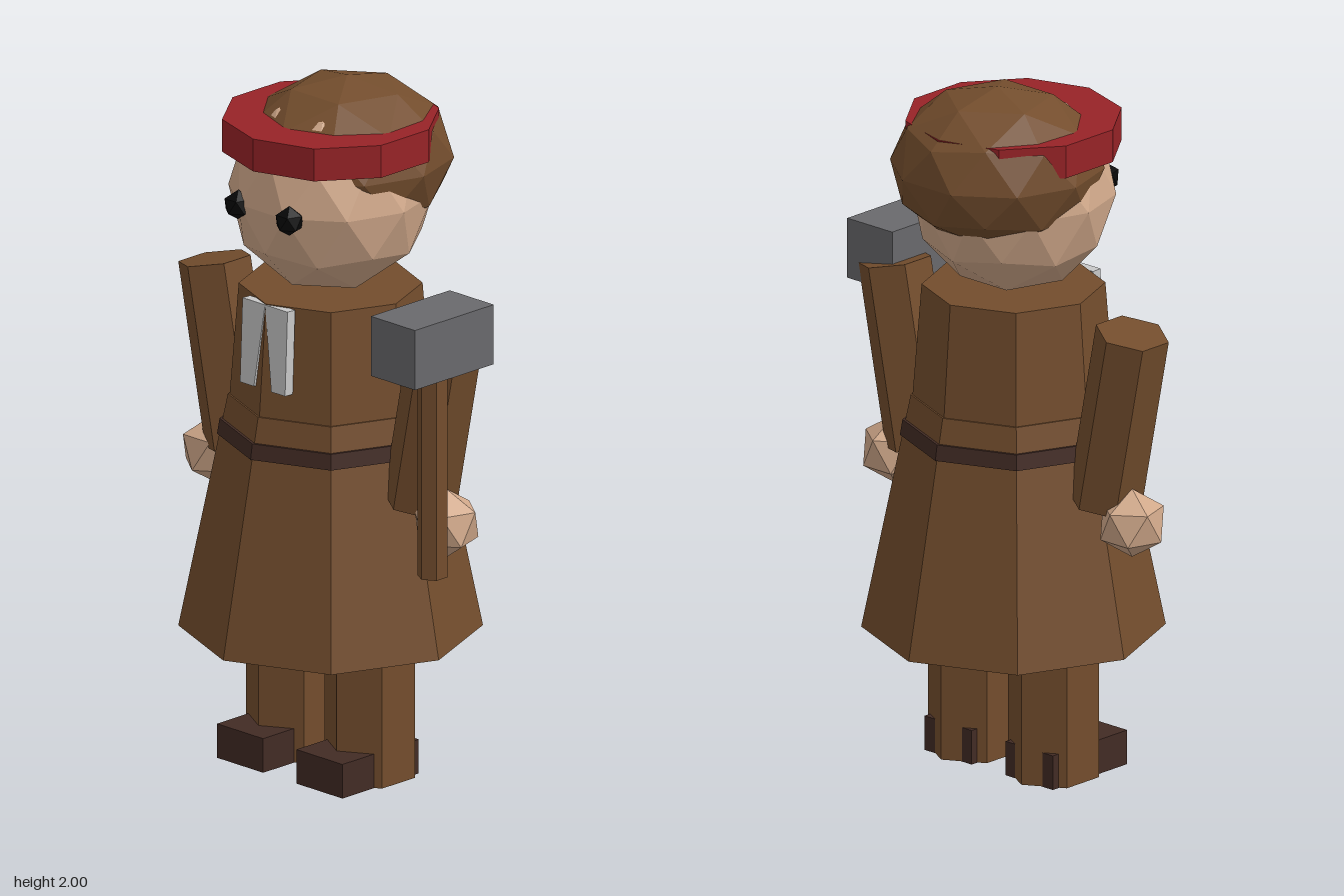
import * as THREE from 'three';

const material = (name, color) => {
  const m = new THREE.MeshStandardMaterial({ color });
  m.name = name;
  return m;
};

// Unshared vertices give every facet its own normal
function faceted(geometry) {
  const g = geometry.index ? geometry.toNonIndexed() : geometry;
  g.computeVertexNormals();
  return g;
}

// Icosphere with a vertex at the top
const ball = (r, detail) =>
  faceted(new THREE.IcosahedronGeometry(r, detail).rotateZ(-0.5536).rotateY(Math.PI / 2));

const prism = (rTop, rBottom, height, sides) =>
  faceted(new THREE.CylinderGeometry(rTop, rBottom, height, sides));

export function createModel() {
  const brown = material('brown', 0x734d2d);
  const skin = material('skin', 0xd0a88a);
  const darkBrown = material('dark brown', 0x422b24);
  const red = material('red', 0x972327);
  const white = material('white', 0xc8c8c8);
  const grey = material('grey', 0x69696c);
  const black = material('black', 0x080808);

  const model = new THREE.Group();
  model.name = 'figure';
  const body = new THREE.Group();
  body.name = 'body';
  body.position.x = -0.02;
  model.add(body);

  const add = (parent, name, geometry, mat, x, y, z) => {
    const mesh = new THREE.Mesh(geometry, mat);
    mesh.name = name;
    mesh.position.set(x, y, z);
    parent.add(mesh);
    return mesh;
  };

  // Coat
  add(body, 'skirt', prism(0.285, 0.4225, 0.68, 8), brown, 0, 0.74, 0);
  add(body, 'torso', prism(0.255, 0.28, 0.325, 8), brown, 0, 1.2425, 0);
  add(body, 'belt', prism(0.308, 0.315, 0.045, 8), darkBrown, 0, 0.985, 0);

  // Head
  add(body, 'head', ball(0.287, 1), skin, 0, 1.68, 0);
  add(body, 'hair', ball(1, 1).scale(0.3, 0.227, 0.3), brown, 0, 1.773, -0.065);
  add(body, 'headband', prism(0.305, 0.305, 0.095, 10), red, 0, 1.854, 0);

  // Paired parts: s is the side, +1 for the figure's left
  for (const s of [-1, 1]) {
    const side = s > 0 ? 'left' : 'right';
    add(body, side + 'Eye', ball(0.043, 0), black, s * 0.1, 1.675, 0.263);

    const arm = add(body, side + 'Arm', prism(0.105, 0.105, 0.527, 6), brown, s * 0.402, 1.108, 0);
    arm.rotation.z = -s * 0.2;
    add(body, side + 'Hand', ball(0.1, 0), skin, s * 0.453, 0.81, 0);

    add(body, side + 'Leg', prism(0.13, 0.13, 0.5, 6), brown, s * 0.153, 0.251, 0);
    add(body, side + 'Boot', faceted(new THREE.BoxGeometry(0.18, 0.1, 0.3)), darkBrown,
      s * 0.155, 0.05, 0.05);

    // Neckcloth tail, straight outside and slanted inside
    const tail = new THREE.Shape([[0, 0], [0.088, 0], [0.088, -0.245], [0.034, -0.245]]
      .map(([x, y]) => new THREE.Vector2(s * x, y)));
    const cloth = add(body, side + 'NeckclothTail',
      faceted(new THREE.ExtrudeGeometry(tail, { depth: 0.03, bevelEnabled: false })),
      white, 0, 1.402, 0.228);
    cloth.rotation.x = -0.04;
  }

  // Hammer
  const hammer = new THREE.Group();
  hammer.name = 'hammer';
  hammer.position.set(0.477, 0, 0.1);
  model.add(hammer);
  add(hammer, 'handle', prism(0.043, 0.043, 0.66, 6), brown, 0, 1.02, 0);
  add(hammer, 'hammerHead', faceted(new THREE.BoxGeometry(0.172, 0.175, 0.31)), grey, 0, 1.382, 0);

  return model;
}
